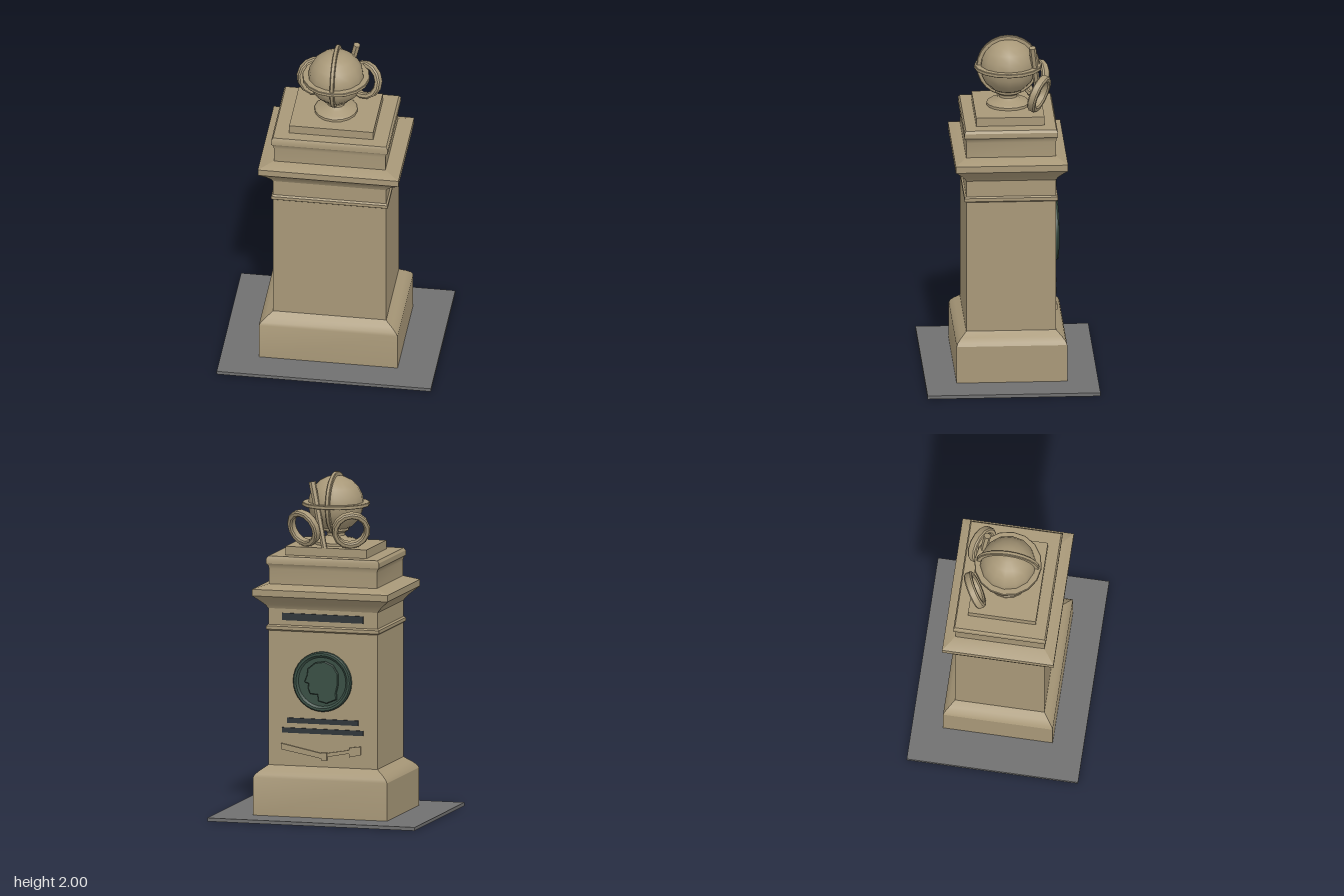
import * as THREE from 'three';
import { toCreasedNormals } from 'three/addons/utils/BufferGeometryUtils.js';

const material = (name, color) => {
  const m = new THREE.MeshStandardMaterial({ color });
  m.name = name;
  return m;
};

// Stack of rectangular cross-sections [y, halfWidth, halfDepth], capped at both ends
function rectLoft(levels) {
  const signs = [[1, 1], [1, -1], [-1, -1], [-1, 1]];
  const pos = [];
  const corner = (l, k) => [signs[k % 4][0] * l[1], l[0], signs[k % 4][1] * l[2]];
  const tri = (...pts) => pts.forEach((p) => pos.push(...p));
  for (let i = 0; i < levels.length - 1; i++) {
    const lo = levels[i], hi = levels[i + 1];
    for (let k = 0; k < 4; k++) {
      tri(corner(lo, k), corner(lo, k + 1), corner(hi, k + 1));
      tri(corner(lo, k), corner(hi, k + 1), corner(hi, k));
    }
  }
  const lo = levels[0], hi = levels[levels.length - 1];
  for (const k of [1, 2]) {
    tri(corner(hi, 0), corner(hi, k), corner(hi, k + 1));
    tri(corner(lo, 0), corner(lo, k + 1), corner(lo, k));
  }
  const g = new THREE.BufferGeometry();
  g.setAttribute('position', new THREE.Float32BufferAttribute(pos, 3));
  return toCreasedNormals(g, 0.5);
}

// Revolved profile about y
function lathe(points, segments) {
  const g = new THREE.LatheGeometry(points.map((p) => new THREE.Vector2(...p)), segments);
  return toCreasedNormals(g, 0.6);
}

// Flat hoop about y with chamfered edges
function hoop(inner, outer, half, c, segments) {
  return lathe([
    [inner + c, -half], [outer - c, -half], [outer, -half + c], [outer, half - c],
    [outer - c, half], [inner + c, half], [inner, half - c], [inner, -half + c], [inner + c, -half],
  ], segments);
}

export function createModel() {
  const model = new THREE.Group();
  model.name = 'monument';
  const stone = material('sandstone', 0xa89878);
  const paving = material('grey paving', 0x707070);
  const bronze = material('green bronze', 0x3a4f45);
  const dark = material('dark plate', 0x30363a);

  function add(name, geometry, mat, x = 0, y = 0, z = 0, parent = model) {
    const mesh = new THREE.Mesh(geometry, mat);
    mesh.name = name;
    mesh.position.set(x, y, z);
    parent.add(mesh);
    return mesh;
  }

  add('groundSlab', new THREE.BoxGeometry(1.25, 0.02, 1), paving, 0, 0.01, 0);

  // Pedestal: plinth, shaft, cornice, crown
  add('plinth', rectLoft([
    [0.02, 0.405, 0.32], [0.24, 0.405, 0.32], [0.258, 0.395, 0.313],
    [0.282, 0.368, 0.291], [0.305, 0.335, 0.265], [0.31, 0.33, 0.26],
  ]), stone);
  add('shaft', rectLoft([[0.31, 0.33, 0.26], [1.1, 0.33, 0.26]]), stone);
  add('neckMoulding', rectLoft([
    [1.095, 0.33, 0.26], [1.103, 0.34, 0.27], [1.122, 0.34, 0.27], [1.13, 0.33, 0.26],
  ]), stone);
  add('frieze', rectLoft([[1.12, 0.33, 0.26], [1.235, 0.33, 0.26]]), stone);
  add('cornice', rectLoft([
    [1.225, 0.33, 0.26], [1.245, 0.345, 0.27], [1.27, 0.372, 0.292], [1.295, 0.402, 0.317],
    [1.302, 0.41, 0.325], [1.34, 0.41, 0.325], [1.367, 0.328, 0.262],
  ]), stone);
  add('crown', rectLoft([
    [1.36, 0.325, 0.26], [1.455, 0.325, 0.26], [1.475, 0.33, 0.263], [1.486, 0.34, 0.27],
    [1.515, 0.34, 0.27], [1.53, 0.33, 0.262],
  ]), stone);
  add('topBlock', new THREE.BoxGeometry(0.49, 0.05, 0.395), stone, 0, 1.555, 0);

  // Globe on its turned foot, with horizon and meridian hoops
  add('globeFoot', lathe([
    [0, 1.575], [0.125, 1.575], [0.125, 1.595], [0.11, 1.607], [0.07, 1.615],
    [0.052, 1.63], [0.052, 1.645], [0.075, 1.66], [0.075, 1.68], [0, 1.68],
  ], 16), stone);
  add('globe', new THREE.SphereGeometry(0.163, 14, 10), stone, 0, 1.815, 0);
  add('horizonHoop', hoop(0.155, 0.196, 0.011, 0.003, 16), stone, 0, 1.813, 0);
  add('meridianHoop', hoop(0.155, 0.183, 0.012, 0.004, 24), stone, 0, 1.817, 0).rotation.z = Math.PI / 2;

  // Two instrument rings leaning back behind the globe
  for (const side of [-1, 1]) {
    const ring = new THREE.Group();
    ring.name = side < 0 ? 'rightRing' : 'leftRing';
    ring.position.set(side * 0.142, 1.688, -0.172);
    ring.rotation.set(-0.3, -side * 0.45, 0, 'YXZ');
    add('ringBand', hoop(0.078, 0.112, 0.024, 0.008, 14), stone, 0, 0, 0, ring).rotation.x = Math.PI / 2;
    model.add(ring);
  }

  // Telescope standing between the rings
  const foot = new THREE.Vector3(0.015, 1.575, -0.18);
  const tip = new THREE.Vector3(0.103, 1.955, -0.135);
  const axis = tip.clone().sub(foot);
  const mid = foot.clone().add(tip).multiplyScalar(0.5);
  const tube = add('telescope', toCreasedNormals(
    new THREE.CylinderGeometry(0.021, 0.017, axis.length(), 6), 0.5), stone, mid.x, mid.y, mid.z);
  tube.quaternion.setFromUnitVectors(new THREE.Vector3(0, 1, 0), axis.normalize());

  // Back-face ornaments, drawn facing +z and turned to face -z
  const back = new THREE.Group();
  back.name = 'backOrnaments';
  back.position.z = -0.26;
  back.rotation.y = Math.PI;
  model.add(back);

  const relief = (points, depth, bevel = 0) => new THREE.ExtrudeGeometry(
    new THREE.Shape(points.map((p) => new THREE.Vector2(...p))),
    { depth, bevelEnabled: bevel > 0, bevelSize: bevel, bevelThickness: bevel, bevelSegments: 1, bevelOffset: -bevel });

  add('medallion', lathe([
    [0, -0.005], [0.175, -0.005], [0.175, 0.02], [0.168, 0.028], [0.155, 0.028],
    [0.143, 0.017], [0, 0.017],
  ], 32), bronze, 0, 0.81, 0, back).rotation.x = Math.PI / 2;
  add('portraitRelief', relief([
    [-0.04, 0.112], [0.02, 0.122], [0.07, 0.1], [0.1, 0.05], [0.1, -0.01], [0.088, -0.06],
    [0.09, -0.1], [0.03, -0.125], [-0.02, -0.112], [-0.025, -0.075], [-0.07, -0.072],
    [-0.082, -0.04], [-0.08, -0.012], [-0.105, -0.004], [-0.088, 0.04], [-0.085, 0.075],
  ], 0.013, 0.005), bronze, 0, 0.81, 0.014, back);

  // Inscription strips left plain
  for (const [y, w, h] of [[1.18, 0.49, 0.042], [0.575, 0.43, 0.03], [0.517, 0.49, 0.03]]) {
    add('darkStrip', new THREE.BoxGeometry(w, h, 0.008), dark, 0, y, 0.003, back);
  }

  // Crossed tools relief below the strips
  add('toolBlade', relief([[-0.25, 0.405], [-0.25, 0.44], [0.02, 0.385], [0.02, 0.355]], 0.013), stone, 0, 0, -0.001, back);
  add('toolHandle', relief([[-0.02, 0.362], [-0.02, 0.385], [0.18, 0.42], [0.18, 0.4]], 0.011), stone, 0, 0, -0.001, back);
  add('toolHead', relief([[0.16, 0.375], [0.16, 0.43], [0.23, 0.44], [0.23, 0.39]], 0.015), stone, 0, 0, -0.001, back);
  add('toolJoint', new THREE.BoxGeometry(0.035, 0.045, 0.018), stone, 0.01, 0.373, 0.008, back);
  return model;
}
